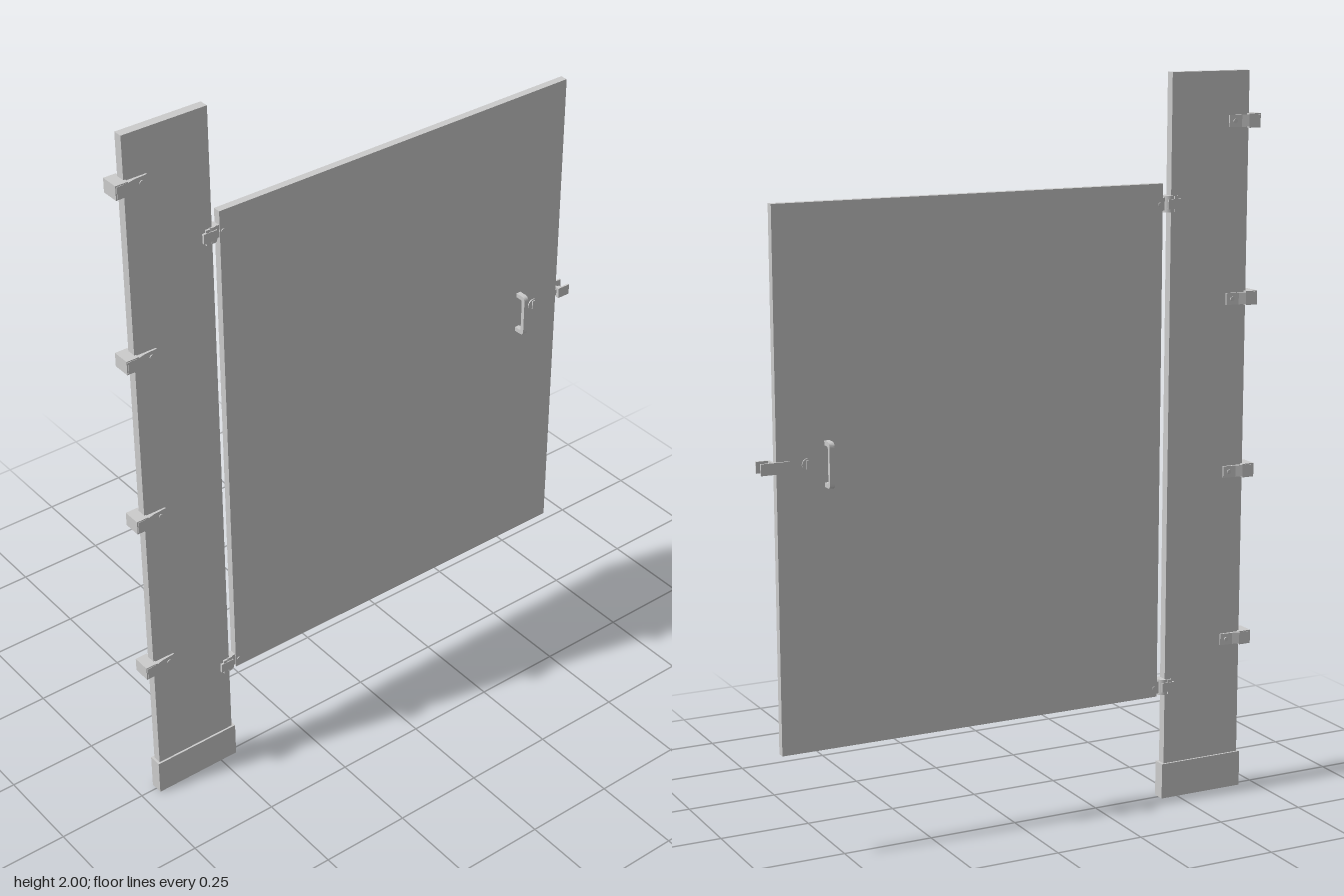
import * as THREE from 'three';

const grey = new THREE.MeshStandardMaterial({ color: 0xcccccc });

function add(parent, name, geometry, x = 0, y = 0, z = 0) {
  const mesh = new THREE.Mesh(geometry, grey);
  mesh.name = name;
  mesh.position.set(x, y, z);
  parent.add(mesh);
  return mesh;
}

// Box given by its limits on each axis
function block(parent, name, x0, x1, y0, y1, z0, z1) {
  return add(parent, name, new THREE.BoxGeometry(x1 - x0, y1 - y0, z1 - z0),
    (x0 + x1) / 2, (y0 + y1) / 2, (z0 + z1) / 2);
}

// Plan outline (x, z) extruded upwards, centred on its own height
function planExtrude(points, height) {
  const shape = new THREE.Shape(points.map(([x, z]) => new THREE.Vector2(x, -z)));
  return new THREE.ExtrudeGeometry(shape, { depth: height, bevelEnabled: false })
    .translate(0, 0, -height / 2).rotateX(-Math.PI / 2);
}

// Short round pin along z
function pin(parent, name, radius, length, x, y, z) {
  const geometry = new THREE.CylinderGeometry(radius, radius, length, 16).rotateX(Math.PI / 2);
  return add(parent, name, geometry, x, y, z);
}

// U-shaped clip that ties the post to a wall
function wallBracket(y) {
  const group = new THREE.Group();
  group.name = 'wallBracket';
  group.position.y = y;
  const half = [[-0.722, 0.027], [-0.69, 0.025], [-0.67, 0.02], [-0.633, 0.017]];
  const inner = [[-0.633, 0.012], [-0.698, 0.012]];
  const front = [...half, ...inner];
  const back = front.map(([x, z]) => [x, -z]).reverse();
  add(group, 'bracketClip', planExtrude([...front, ...back], 0.032));
  block(group, 'bracketWallPlate', -0.725, -0.69, -0.019, 0.019, -0.025, 0.025);
  for (const side of [-1, 1]) pin(group, 'bracketScrew', 0.006, 0.006, -0.65, 0, side * 0.018);
  return group;
}

// Hinge: cheeks on the post, knuckle in the gap, leaf into the door edge
function hinge(y) {
  const group = new THREE.Group();
  group.name = 'hinge';
  group.position.y = y;
  for (const side of [-1, 1]) {
    block(group, 'hingeCheek', -0.486, -0.447, -0.013, 0.013, side * 0.015 - 0.004, side * 0.015 + 0.004);
    block(group, 'hingeFlange', -0.478, -0.466, -0.021, 0.021, side * 0.015 - 0.003, side * 0.015 + 0.003);
  }
  add(group, 'hingeKnuckle', new THREE.CylinderGeometry(0.017, 0.017, 0.044, 20), -0.456);
  block(group, 'hingeLeaf', -0.456, -0.43, -0.017, 0.017, -0.008, 0.008);
  for (const side of [-1, 1]) pin(group, 'hingeScrew', 0.005, 0.004, -0.425, 0, side * 0.011);
  return group;
}

// Bow handle with rounded corners on one face of the door
function pullHandle(side) {
  const outline = new THREE.Shape();
  outline.moveTo(0, 0.06);
  outline.lineTo(0.03, 0.06);
  outline.quadraticCurveTo(0.044, 0.06, 0.044, 0.046);
  outline.lineTo(0.044, -0.046);
  outline.quadraticCurveTo(0.044, -0.06, 0.03, -0.06);
  outline.lineTo(0, -0.06);
  outline.lineTo(0, -0.048);
  outline.lineTo(0.026, -0.048);
  outline.quadraticCurveTo(0.033, -0.048, 0.033, -0.041);
  outline.lineTo(0.033, 0.041);
  outline.quadraticCurveTo(0.033, 0.048, 0.026, 0.048);
  outline.lineTo(0, 0.048);
  const geometry = new THREE.ExtrudeGeometry(outline, { depth: 0.014, bevelEnabled: false, curveSegments: 6 })
    .translate(0, 0, -0.007).rotateY(side * -Math.PI / 2);
  const mesh = new THREE.Mesh(geometry, grey);
  mesh.name = 'pullHandle';
  mesh.position.set(0.535, 1.05, 0);
  return mesh;
}

export function createModel() {
  const model = new THREE.Group();
  model.name = 'partitionDoor';

  // Post with its floor shoe
  block(model, 'post', -0.695, -0.458, 0.005, 2, -0.0125, 0.0125);
  block(model, 'floorShoe', -0.702, -0.45, 0, 0.1, -0.018, 0.018);

  // Door panel
  block(model, 'door', -0.434, 0.672, 0.297, 1.71, -0.0105, 0.0105);

  for (const y of [0.435, 0.912, 1.39, 1.867]) model.add(wallBracket(y));
  for (const y of [0.322, 1.655]) model.add(hinge(y));
  for (const side of [-1, 1]) model.add(pullHandle(side));

  // Latch: round rose and turn bar on each face
  const latch = new THREE.Group();
  latch.name = 'latch';
  for (const side of [-1, 1]) {
    pin(latch, 'latchRose', 0.016, 0.004, 0.588, 1.053, side * 0.0115);
    block(latch, 'latchTurn', 0.584, 0.592, 1.041, 1.065, side * 0.014 - 0.003, side * 0.014 + 0.003);
  }
  model.add(latch);

  // Strike: stepped keep beyond the free edge of the door
  const keep = [[0.64, -0.024], [0.718, -0.024], [0.718, -0.019], [0.686, -0.019],
    [0.686, 0.01], [0.718, 0.01], [0.718, 0.015], [0.68, 0.015], [0.68, -0.019], [0.64, -0.019]];
  add(model, 'latchKeep', planExtrude(keep.reverse(), 0.03), 0, 1.053);
  block(model, 'latchBolt', 0.665, 0.7, 1.045, 1.061, -0.006, 0.006);
  return model;
}
